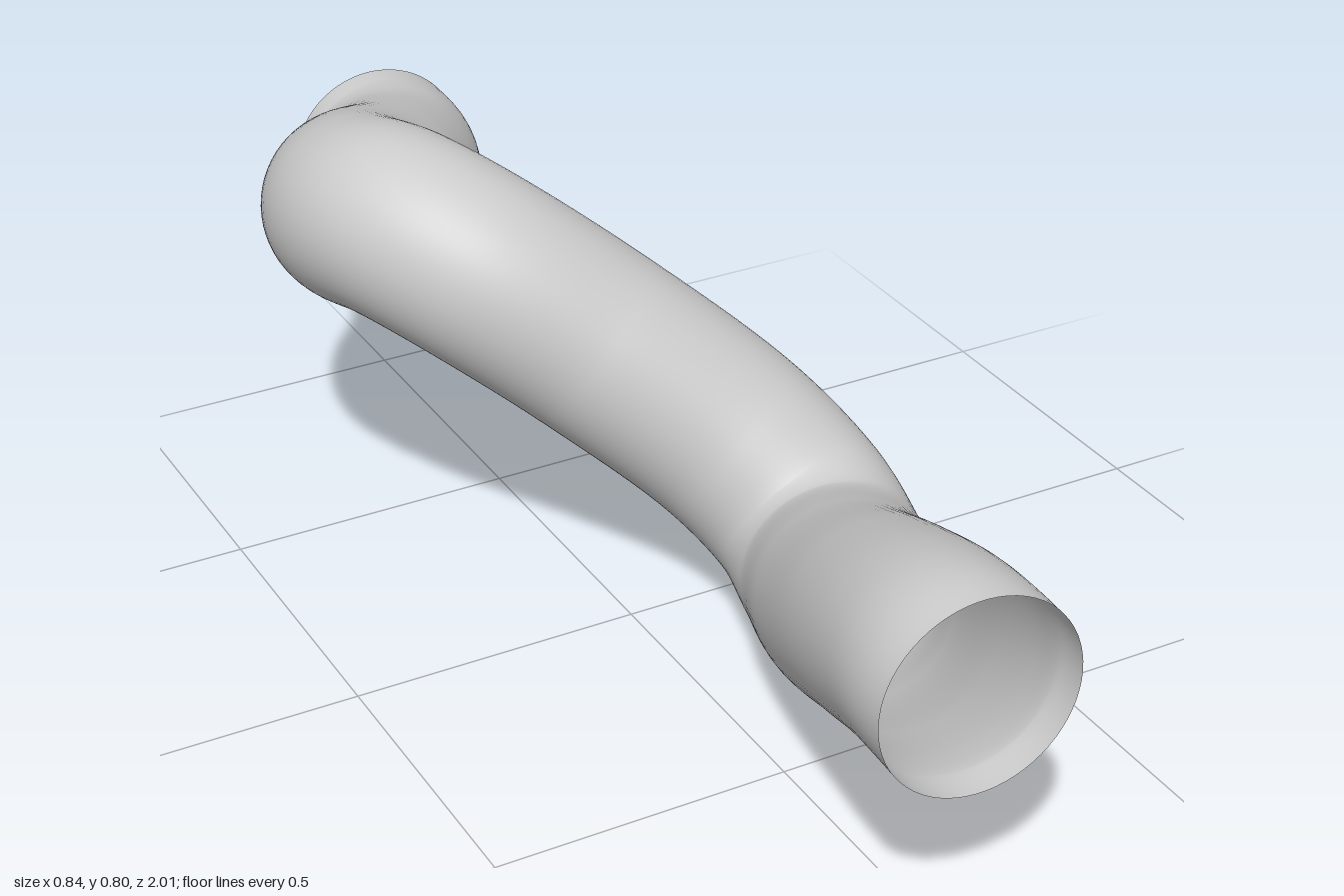
import * as THREE from 'three';

export function createModel() {
  const model = new THREE.Group();

  // Centre line of the bent pipe, from the front opening to the back one
  const path = new THREE.CatmullRomCurve3([
    [0.005, 0.45, 0.995], [0.01, 0.449, 0.92], [0.03, 0.425, 0.83],
    [0.08, 0.35, 0.66], [0.17, 0.225, 0.42], [0.24, 0.165, 0.25],
    [0.255, 0.2, 0.12], [0.185, 0.3, 0.01], [0, 0.47, -0.12],
    [-0.17, 0.605, -0.23], [-0.245, 0.645, -0.34], [-0.26, 0.625, -0.45],
    [-0.215, 0.575, -0.58], [-0.11, 0.51, -0.72], [-0.03, 0.463, -0.85],
    [0, 0.451, -0.93], [0.005, 0.45, -0.995],
  ].map((p) => new THREE.Vector3(...p)));

  // Open, thin-walled pipe
  const pipe = new THREE.Mesh(
    new THREE.TubeGeometry(path, 160, 0.16, 64, false),
    new THREE.MeshStandardMaterial({ color: 0xcccccc, side: THREE.DoubleSide }),
  );
  pipe.name = 'bentPipe';
  model.add(pipe);

  return model;
}
